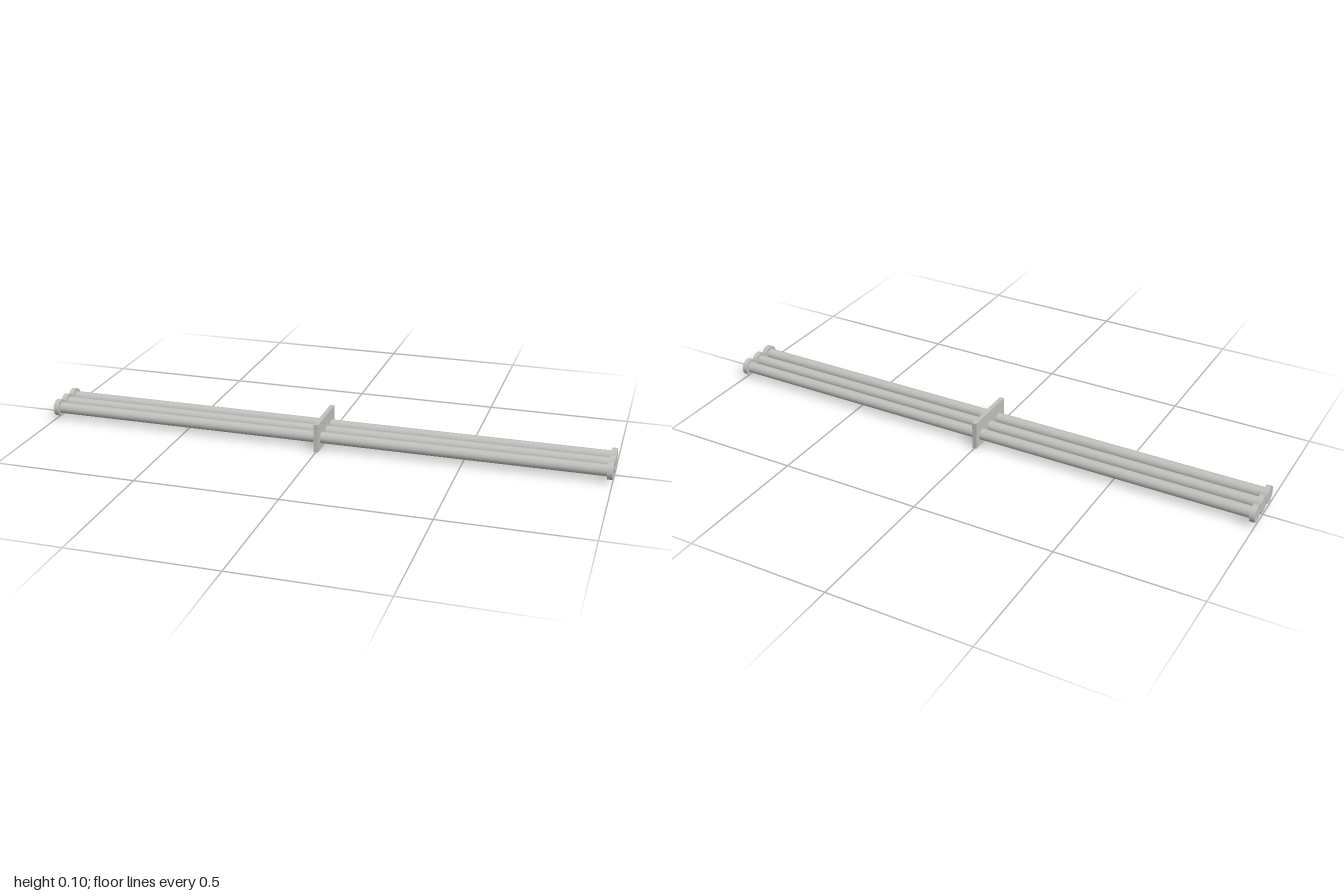
import * as THREE from 'three';

export function createModel() {
  const model = new THREE.Group();
  const steel = new THREE.MeshStandardMaterial({ color: 0xc0c0bc });
  const axisY = 0.04, spacing = 0.06, offsetZ = -0.001;
  const capThickness = 0.018;

  function add(name, geometry, parent, x, y, z) {
    const mesh = new THREE.Mesh(geometry, steel);
    mesh.name = name;
    mesh.position.set(x, y, z);
    parent.add(mesh);
  }

  // Cylinders lying along x
  const rodGeometry = new THREE.CylinderGeometry(0.02, 0.02, 2 - capThickness, 48).rotateZ(Math.PI / 2);
  const capGeometry = new THREE.CylinderGeometry(0.03, 0.03, capThickness, 64).rotateZ(Math.PI / 2);

  // Three parallel rods, each with a disc cap at both ends
  for (const i of [-1, 0, 1]) {
    const rod = new THREE.Group();
    rod.name = 'cappedRod';
    rod.position.set(0, axisY, offsetZ + i * spacing);
    add('rod', rodGeometry, rod, 0, 0, 0);
    for (const side of [-1, 1]) {
      add('endCap', capGeometry, rod, side * (1 - capThickness / 2), 0, 0);
    }
    model.add(rod);
  }

  // Upright plate holding the rods at mid length
  add('centrePlate', new THREE.BoxGeometry(0.016, 0.1, 0.2), model, 0, 0.05, 0);

  return model;
}
